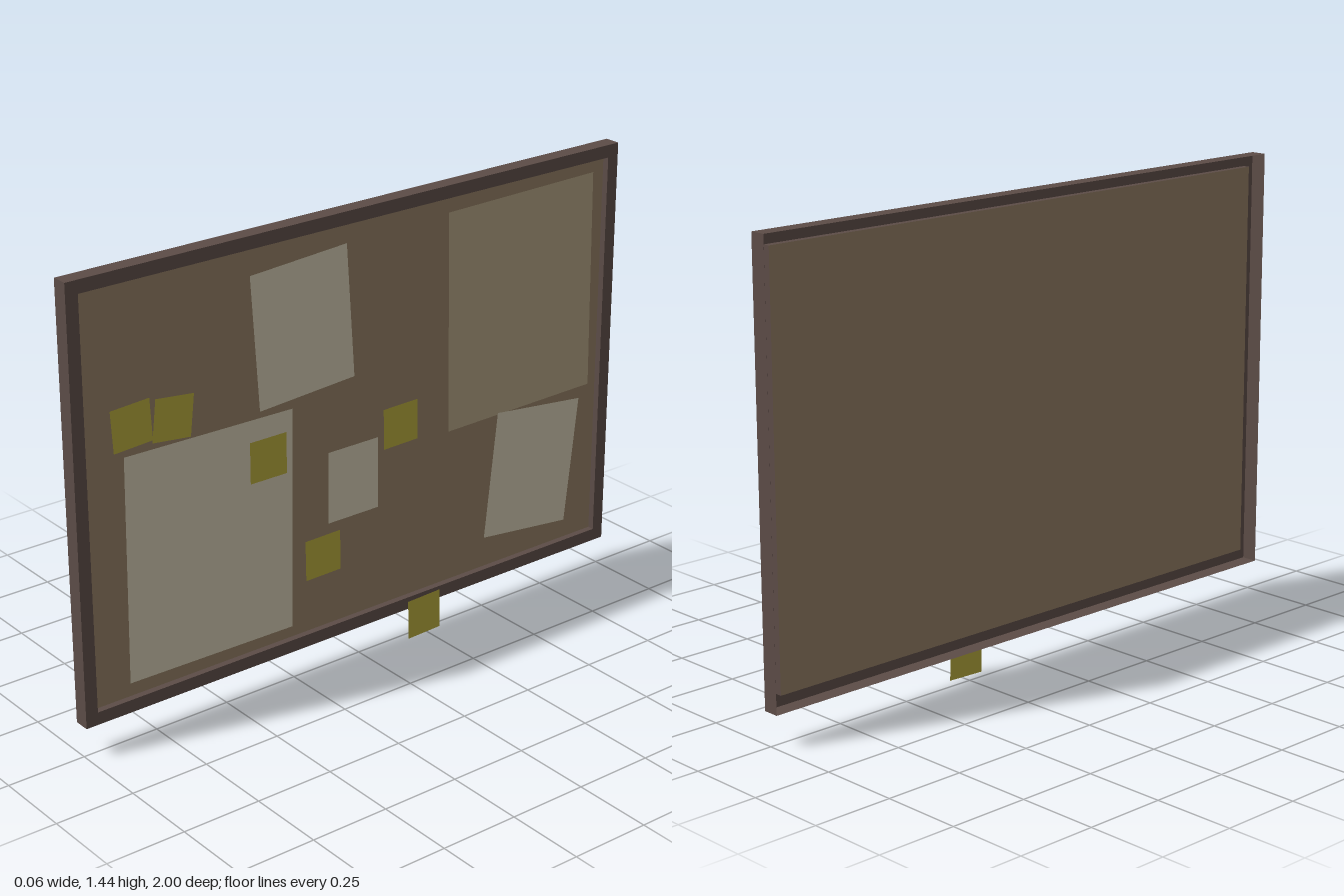
import * as THREE from 'three';

const mat = (name, color) =>
  new THREE.MeshStandardMaterial({ name, color, side: THREE.DoubleSide });

export function createModel() {
  const wood = mat('dark wood', 0x5c4c47);
  const cork = mat('cork', 0x8e7a60);
  const white = mat('off-white paper', 0xcac1ab);
  const tan = mat('tan paper', 0xac9d7f);
  const yellow = mat('yellow note', 0xb0a33a);

  const group = new THREE.Group();
  const midY = 0.7725, halfZ = 1, halfY = 0.6725;

  // Flat sheet facing +x: centre z and y, width, height, anticlockwise turn
  function sheet(name, material, x, z, y, w, h, turn = 0) {
    const mesh = new THREE.Mesh(new THREE.PlaneGeometry(w, h), material);
    mesh.name = name;
    mesh.position.set(x, y, z);
    mesh.rotation.set(0, Math.PI / 2, turn);
    group.add(mesh);
  }

  // Frame: an open-backed moulding, its profile (x, inset) swept round four corners
  const profile = [[-0.03, 0], [0.021, 0], [0.021, 0.04], [0, 0.04]];
  const corners = [[1, -1], [1, 1], [-1, 1], [-1, -1]];
  const point = ([x, inset], [sz, sy]) =>
    [x, midY + sy * (halfY - inset), sz * (halfZ - inset)];
  const pos = [];
  for (let i = 0; i < 3; i++) {
    for (let j = 0; j < 4; j++) {
      const a = point(profile[i], corners[j]);
      const b = point(profile[i], corners[(j + 1) % 4]);
      const c = point(profile[i + 1], corners[(j + 1) % 4]);
      const d = point(profile[i + 1], corners[j]);
      pos.push(...a, ...c, ...b, ...a, ...d, ...c);
    }
  }
  const frameGeo = new THREE.BufferGeometry();
  frameGeo.setAttribute('position', new THREE.Float32BufferAttribute(pos, 3));
  frameGeo.computeVertexNormals();
  const frame = new THREE.Mesh(frameGeo, wood);
  frame.name = 'frame';
  group.add(frame);

  // Cork panel recessed inside the frame
  sheet('corkPanel', cork, 0, 0, midY, 2 * (halfZ - 0.04), 2 * (halfY - 0.04));

  // Pinned papers
  sheet('largeTanPaper', tan, 0.003, -0.632, 1.005, 0.58, 0.706, 0.016);
  sheet('largePaper', white, 0.003, 0.541, 0.532, 0.58, 0.706, -0.012);
  sheet('upperPaper', white, 0.005, 0.205, 1.123, 0.344, 0.418, 0.065);
  sheet('lowerPaper', white, 0.005, -0.694, 0.43, 0.344, 0.418, -0.112);
  sheet('smallPaper', white, 0.005, 0.024, 0.591, 0.188, 0.23);

  // Sticky notes
  const notes = [
    [0.802, 0.979, 0.06], [0.664, 0.966, -0.11], [0.339, 0.753, 0],
    [-0.153, 0.727, 0.02], [0.143, 0.38, 0.015],
  ];
  for (const [z, y, turn] of notes) sheet('stickyNote', yellow, 0.01, z, y, 0.13, 0.13, turn);

  // Note hanging over the bottom rail
  sheet('hangingNote', yellow, 0.03, -0.236, 0.067, 0.126, 0.13, 0.03);

  return group;
}
